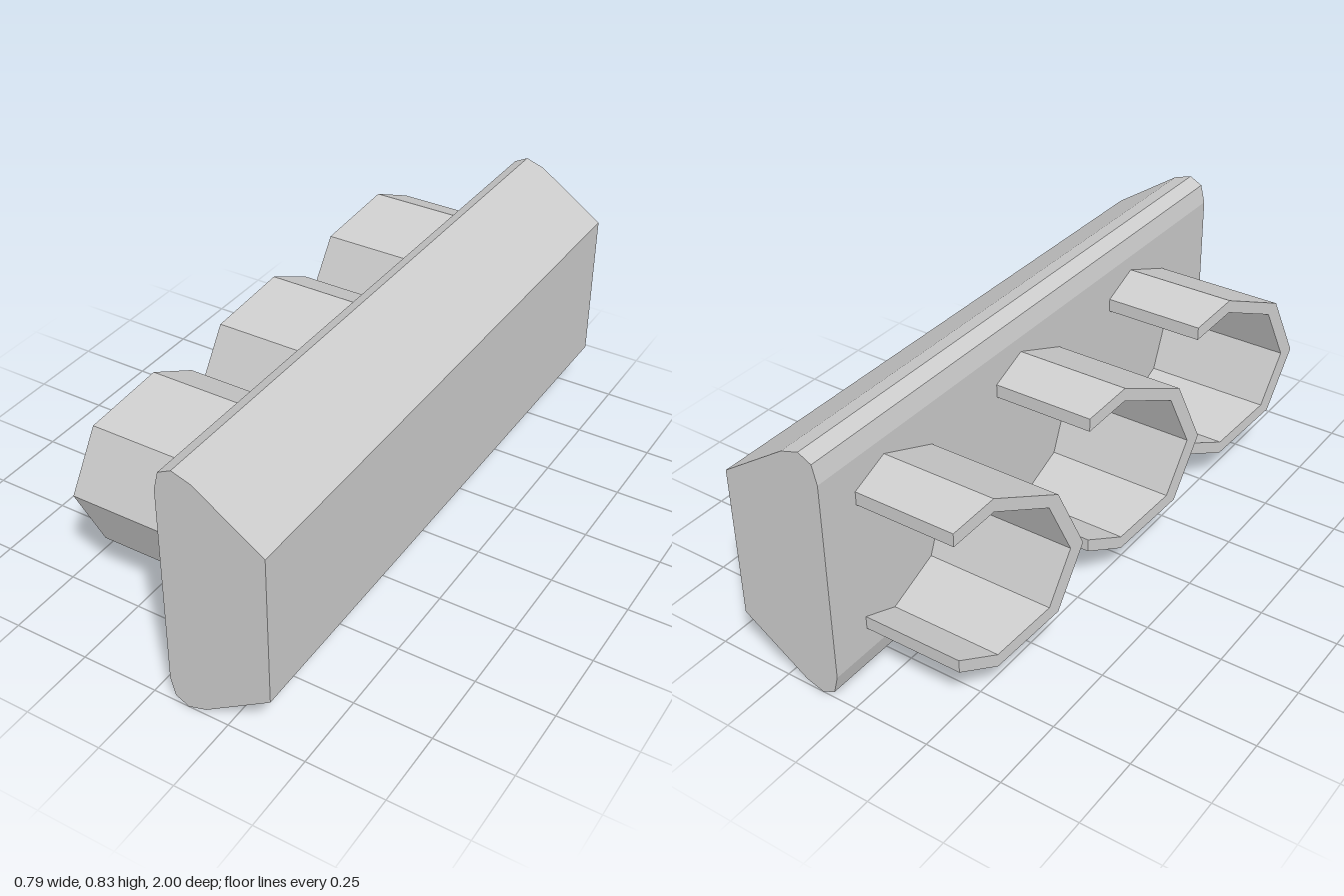
import * as THREE from 'three';

const MID_Y = 0.4135; // mirror height of the bar profile
const CLIP_Y = 0.404; // centre height of the clips

export function createModel() {
  const model = new THREE.Group();
  const material = new THREE.MeshStandardMaterial({ color: 0xcccccc, flatShading: true });

  // Long bar: bevelled profile, mirrored top to bottom, extruded along z
  const half = [[0.394, 0.248], [0.178, 0.394], [0.118, 0.4135], [0.075, 0.391], [0.06, 0.331]];
  const profile = [
    ...half.map(([x, y]) => new THREE.Vector2(x, MID_Y + y)),
    ...half.slice().reverse().map(([x, y]) => new THREE.Vector2(x, MID_Y - y)),
  ];
  const barGeometry = new THREE.ExtrudeGeometry(new THREE.Shape(profile), { depth: 2, bevelEnabled: false });
  barGeometry.translate(0, 0, -1);
  const bar = new THREE.Mesh(barGeometry, material);
  bar.name = 'bar';
  model.add(bar);

  // Clip: octagonal C section, open to the back
  const cut = 0.125;
  const arc = (r) => {
    const endY = r - cut * Math.tan(Math.PI / 8);
    const points = [new THREE.Vector2(-cut, -endY)];
    for (let i = -2; i <= 2; i++) {
      const a = (i * Math.PI) / 4;
      points.push(new THREE.Vector2(r * Math.cos(a), r * Math.sin(a)));
    }
    points.push(new THREE.Vector2(-cut, endY));
    return points;
  };
  const section = new THREE.Shape([...arc(0.29), ...arc(0.247).reverse()]);
  const clipGeometry = new THREE.ExtrudeGeometry(section, { depth: 1, bevelEnabled: false });
  clipGeometry.rotateY(-Math.PI / 2);

  // Root sits on the bar; the free end is cut at a slant
  const pos = clipGeometry.attributes.position;
  for (let i = 0; i < pos.count; i++) {
    pos.setX(i, pos.getX(i) < -0.5 ? -0.305 - 0.31 * pos.getZ(i) : 0.06);
  }
  clipGeometry.computeVertexNormals();

  [-0.737, -0.095, 0.524].forEach((z, i) => {
    const clip = new THREE.Mesh(clipGeometry, material);
    clip.name = `clip${i + 1}`;
    clip.position.set(0, CLIP_Y, z);
    model.add(clip);
  });

  return model;
}
